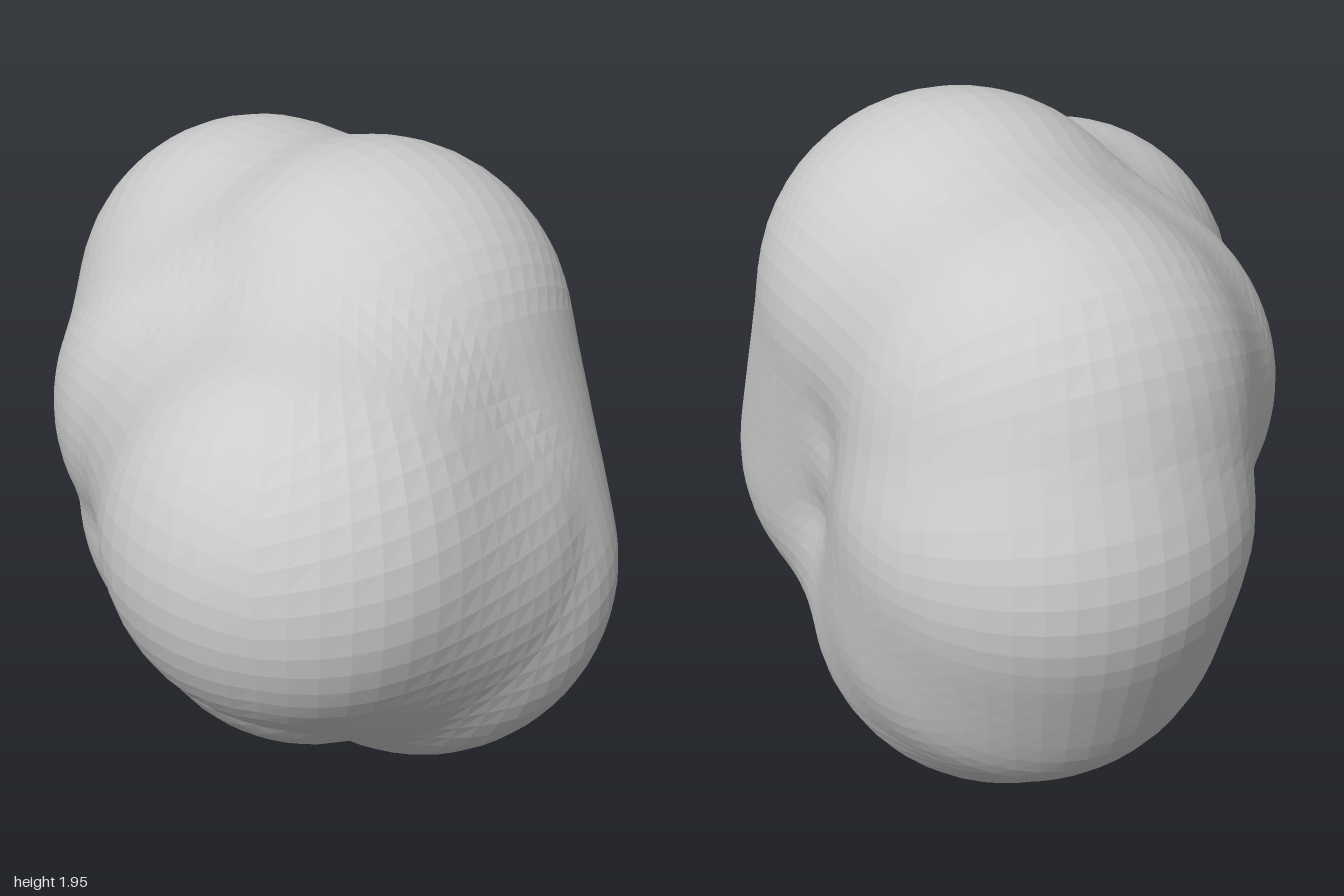
import * as THREE from 'three';

// Lobe centres of the boulder
const front = [-0.29, 1.14, 0.48];
const frontInner = [0.04, 0.97, 0.44];
const frontLow = [0.21, 0.80, 0.385];
const top = [0.20, 1.40, 0.15];
const backUpper = [0.21, 1.33, -0.36];
const back = [0.265, 1.04, -0.455];
const backLow = [0.25, 0.74, -0.33];
const bottom = [0.20, 0.55, -0.10];
const flank = [0.01, 0.88, -0.07];
const flankUpper = [-0.04, 1.18, -0.10];
const core = [0.20, 1.07, -0.03];

// Rounded ridges joining neighbouring lobes: start, end, radius
const RIDGES = [
  [front, frontInner, 0.525],
  [front, frontLow, 0.525],
  [front, flank, 0.49],
  [front, flankUpper, 0.50],
  [front, top, 0.49],
  [front, bottom, 0.49],
  [top, top, 0.555],
  [top, frontLow, 0.55],
  [top, backUpper, 0.52],
  [top, flankUpper, 0.54],
  [backUpper, back, 0.535],
  [back, backLow, 0.55],
  [backLow, bottom, 0.55],
  [bottom, bottom, 0.555],
  [bottom, frontLow, 0.52],
  [bottom, flank, 0.54],
  [flank, back, 0.53],
  [flankUpper, backUpper, 0.53],
  [core, core, 0.52],
].map(([a, b, radius]) => ({
  line: new THREE.Line3(new THREE.Vector3(...a), new THREE.Vector3(...b)),
  radius,
}));

const CENTRE = new THREE.Vector3(0.08, 1.02, 0.04);
const p = new THREE.Vector3();
const near = new THREE.Vector3();

// Distance from the current point to one ridge
function ridgeDistance({ line, radius }) {
  if (line.distanceSq() === 0) return line.start.distanceTo(p) - radius;
  line.closestPointToPoint(p, true, near);
  return near.distanceTo(p) - radius;
}

// How far the surface lies from the centre along a direction
function reach(dir) {
  let t = 1.6;
  for (let step = 0; step < 60; step++) {
    p.copy(CENTRE).addScaledVector(dir, t);
    const d = Math.min(...RIDGES.map(ridgeDistance));
    if (d < 0.001) break;
    t -= d;
  }
  return t;
}

// Averages a small cone of rays, which softens the creases
const CONE = 0.08;
const side = new THREE.Vector3();
const up = new THREE.Vector3();
const ray = new THREE.Vector3();
function softReach(dir) {
  side.set(0.31, 0.83, 0.47).cross(dir).normalize();
  up.crossVectors(dir, side);
  let sum = reach(dir);
  for (let i = 0; i < 6; i++) {
    const a = i * Math.PI / 3;
    ray.copy(dir)
      .addScaledVector(side, CONE * Math.cos(a))
      .addScaledVector(up, CONE * Math.sin(a))
      .normalize();
    sum += reach(ray);
  }
  return sum / 7;
}

export function createModel() {
  const group = new THREE.Group();
  group.name = 'boulder';

  // A cube grid pulled inward along rays until it meets the ridges
  const N = 22;
  const geometry = new THREE.BoxGeometry(2, 2, 2, N, N, N);
  const position = geometry.attributes.position;
  const dir = new THREE.Vector3();
  const even = (t) => Math.tan(t * Math.PI / 4);
  for (let i = 0; i < position.count; i++) {
    dir.fromBufferAttribute(position, i);
    dir.set(even(dir.x), even(dir.y), even(dir.z)).normalize();
    const r = softReach(dir);
    position.setXYZ(i, CENTRE.x + dir.x * r, CENTRE.y + dir.y * r, CENTRE.z + dir.z * r);
  }
  geometry.computeVertexNormals();

  const rock = new THREE.Mesh(
    geometry,
    new THREE.MeshStandardMaterial({ color: 0xcccccc, flatShading: true }),
  );
  rock.name = 'rock';
  group.add(rock);
  return group;
}
